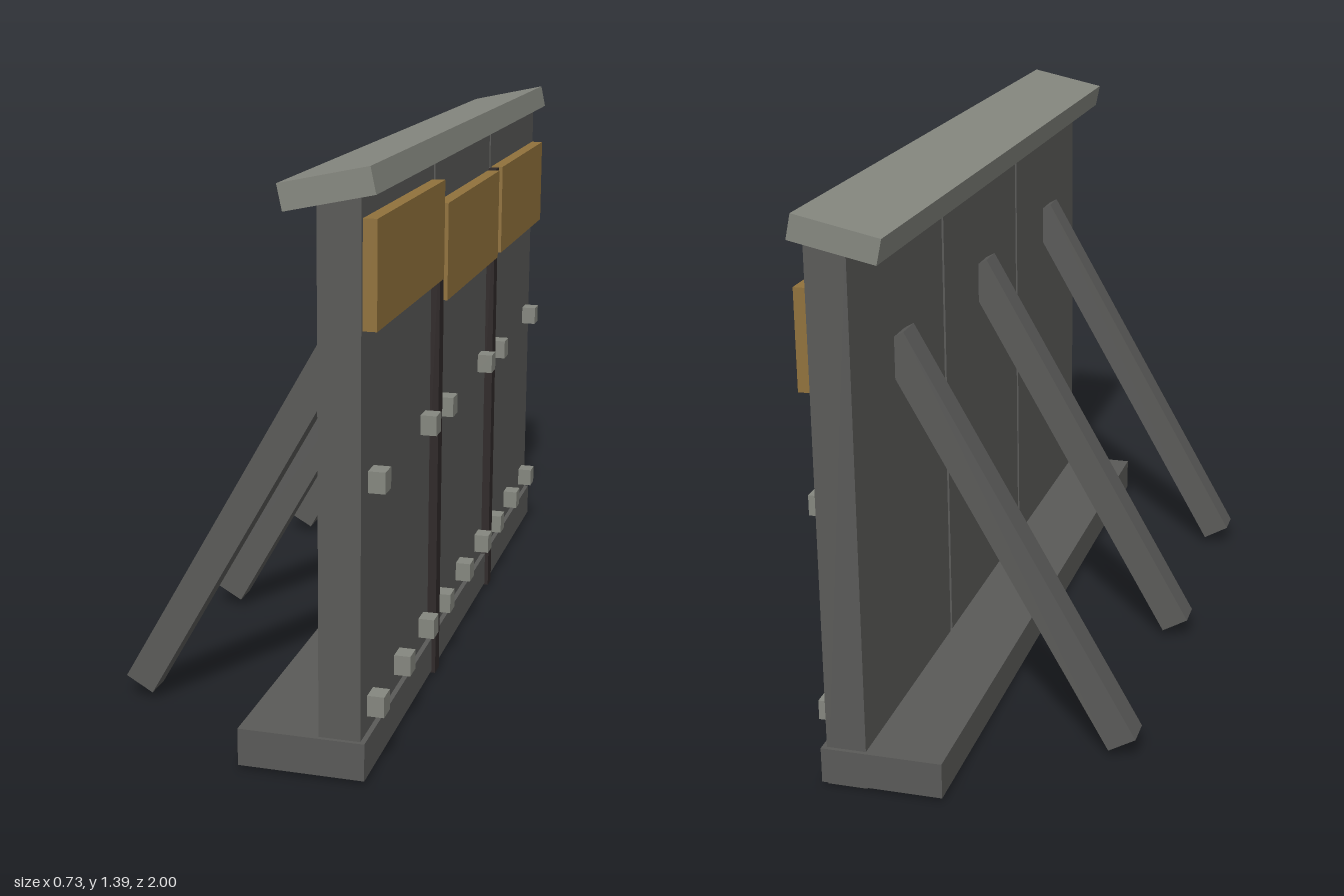
import * as THREE from 'three';

const paint = (color) => new THREE.MeshStandardMaterial({ color, flatShading: true });

export function createModel() {
  const group = new THREE.Group();
  const wall = paint(0x5a5a58);
  const trim = paint(0x85877f);
  const dark = paint(0x2f2929);
  const wood = paint(0x91723c);

  // Box from its minimum and maximum corners
  function block(name, material, [x0, y0, z0], [x1, y1, z1]) {
    const mesh = new THREE.Mesh(new THREE.BoxGeometry(x1 - x0, y1 - y0, z1 - z0), material);
    mesh.position.set((x0 + x1) / 2, (y0 + y1) / 2, (z0 + z1) / 2);
    mesh.name = name;
    group.add(mesh);
    return mesh;
  }

  // Foot beam
  block('base', wall, [0.035, 0.015, -1], [0.335, 0.105, 1]);

  // Three wall panels, each with a wooden plank near the top
  const panels = [
    { z: [0.34, 0.99], y: [0.015, 1.335], plank: [0.355, 0.98], plankY: [1.045, 1.287] },
    { z: [-0.325, 0.325], y: [0.01, 1.325], plank: [-0.31, 0.315], plankY: [0.983, 1.225] },
    { z: [-0.99, -0.34], y: [0.006, 1.33], plank: [-0.98, -0.355], plankY: [0.988, 1.23] },
  ];
  for (const p of panels) {
    block('panel', wall, [0.225, p.y[0], p.z[0]], [0.323, p.y[1], p.z[1]]);
    block('plank', wood, [0.32, p.plankY[0], p.plank[0]], [0.355, p.plankY[1], p.plank[1]]);
  }

  // Dark strips covering the seams
  for (const z of [0.333, -0.333]) {
    block('seamStrip', dark, [0.305, 0.01, z - 0.021], [0.345, 1.228, z + 0.021]);
  }

  // Tilted cap rail
  const cap = block('cap', trim, [0.1435, 1.3175, -1], [0.3535, 1.3785, 1]);
  cap.rotation.z = 0.21;

  // Square bolts: a full row near the foot, only the outer ones higher up
  for (const centre of [0.667, 0, -0.667]) {
    for (const offset of [-0.242, 0, 0.242]) {
      for (const y of [0.168, 0.697]) {
        if (y > 0.5 && offset === 0) continue;
        const z = centre + offset;
        block('bolt', trim, [0.315, y - 0.025, z - 0.025], [0.363, y + 0.025, z + 0.025]);
      }
    }
  }

  // Diagonal braces behind the wall
  for (const z of [0.663, 0, -0.67]) {
    const brace = new THREE.Mesh(new THREE.BoxGeometry(0.078, 1.144, 0.075), wall);
    brace.position.set(-0.047, 0.541, z);
    brace.rotation.z = -0.517;
    brace.name = 'brace';
    group.add(brace);
  }

  return group;
}
